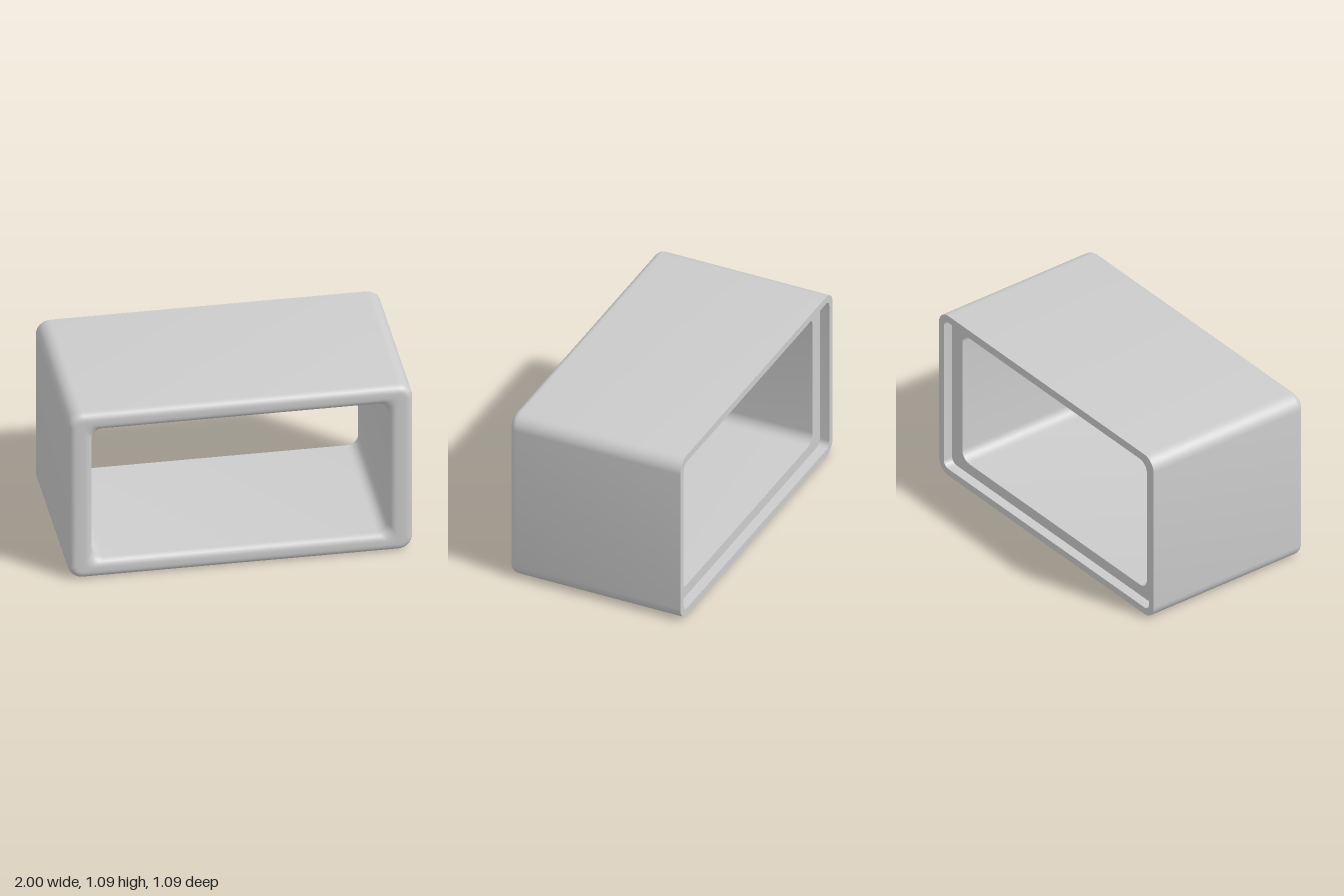
import * as THREE from 'three';
import { toCreasedNormals } from 'three/addons/utils/BufferGeometryUtils.js';

const HALF_W = 1, HALF_H = 0.545, HALF_D = 0.545;
const CORNER_STEPS = 8;

// Rounded rectangle, counter-clockwise seen from the front
function ring({ dx, dy, r, z }) {
  const hx = HALF_W - dx, hy = HALF_H - dy, pts = [];
  const signs = [[1, 1], [-1, 1], [-1, -1], [1, -1]];
  signs.forEach(([sx, sy], q) => {
    for (let i = 0; i <= CORNER_STEPS; i++) {
      const a = (q + i / CORNER_STEPS) * Math.PI / 2;
      pts.push([sx * (hx - r) + r * Math.cos(a), HALF_H + sy * (hy - r) + r * Math.sin(a), z]);
    }
  });
  return pts;
}

// Joins a closed sequence of rings into a tube-like solid
function loftClosed(rings) {
  const n = rings[0].length, index = [];
  for (let i = 0; i < rings.length; i++) {
    const k = (i + 1) % rings.length;
    for (let j = 0; j < n; j++) {
      const m = (j + 1) % n;
      const a = i * n + j, b = i * n + m, c = k * n + m, d = k * n + j;
      index.push(a, b, c, a, c, d);
    }
  }
  const geo = new THREE.BufferGeometry();
  geo.setAttribute('position', new THREE.Float32BufferAttribute(rings.flat(2), 3));
  geo.setIndex(index);
  return toCreasedNormals(geo, 0.6);
}

export function createModel() {
  const group = new THREE.Group();
  group.name = 'openFrame';

  const wallX = 0.14, wallY = 0.115;   // wall thickness at sides, top and bottom
  const outerR = 0.085, holeR = 0.065; // corner radii
  const edge = 0.045;                  // front edge rounding
  const rim = 0.045, rebate = 0.06;    // rear rim width and rebate depth
  const sections = [];
  const add = (dx, dy, r, z) => sections.push({ dx, dy, r, z });

  // Outer wall and rounded outer front edge
  add(0, 0, outerR, -HALF_D);
  for (let i = 0; i <= 6; i++) {
    const a = i / 6 * Math.PI / 2, d = edge * (1 - Math.cos(a));
    add(d, d, outerR - d, HALF_D - edge + edge * Math.sin(a));
  }
  // Rounded inner front edge, running back into the opening
  for (let i = 0; i <= 6; i++) {
    const a = i / 6 * Math.PI / 2, d = edge * (1 - Math.sin(a));
    add(wallX - d, wallY - d, holeR - 0.4 * d, HALF_D - edge + edge * Math.cos(a));
  }
  // Inner wall, rear ledge and rebate step
  add(wallX, wallY, holeR, -HALF_D + rebate);
  add(rim, rim, 0.04, -HALF_D + rebate);
  add(rim, rim, 0.04, -HALF_D);

  const shell = new THREE.Mesh(
    loftClosed(sections.map(ring)),
    new THREE.MeshStandardMaterial({ color: 0xcccccc })
  );
  shell.name = 'frameShell';
  group.add(shell);
  return group;
}
